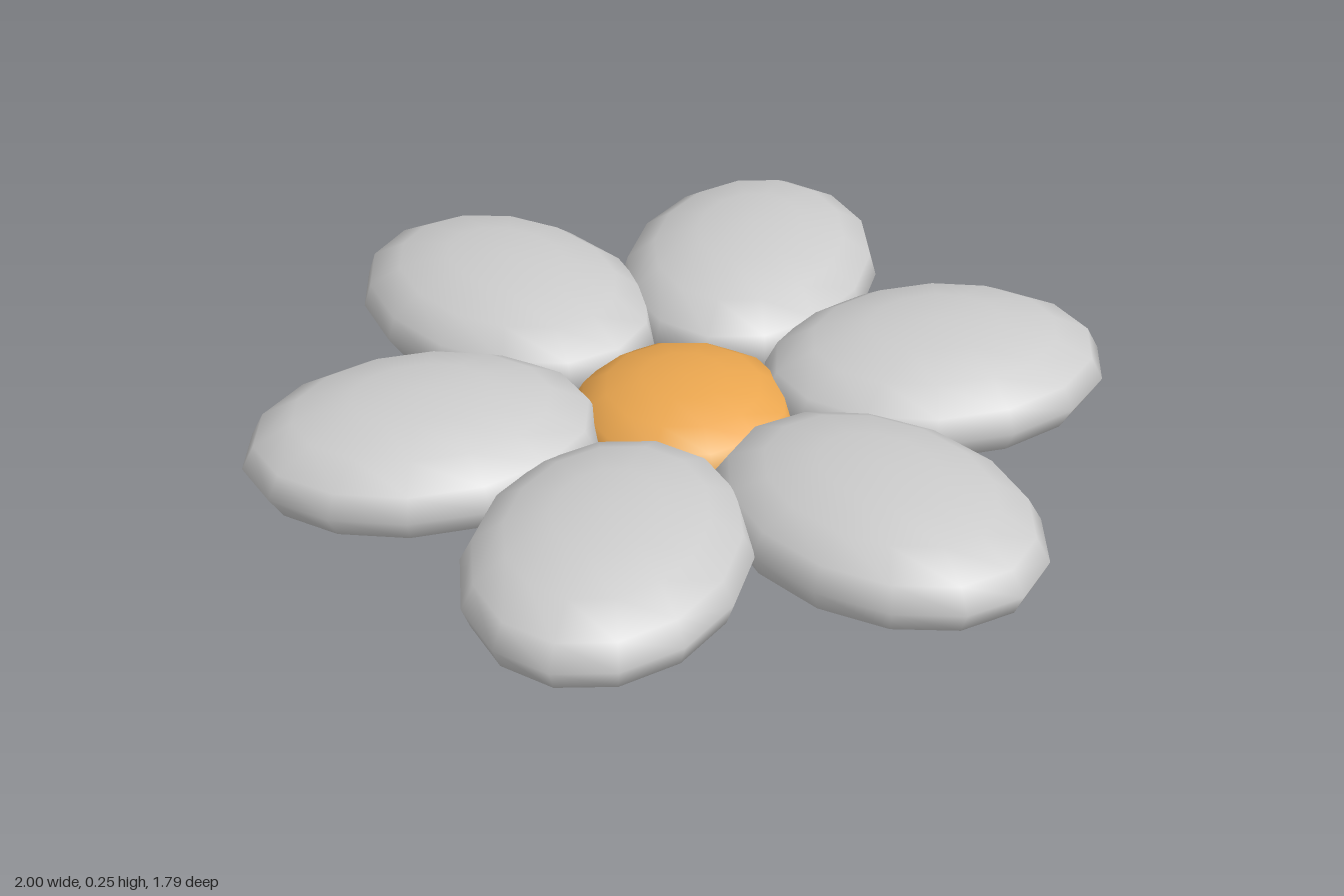
import * as THREE from 'three';

// Open-bottomed ellipsoid, cut flat at y = 0
function cutEllipsoid(rx, ry, rz, cy, segments) {
  const cut = Math.acos(-cy / ry);
  const g = new THREE.SphereGeometry(1, segments, 6, 0, Math.PI * 2, 0, cut);
  g.scale(rx, ry, rz);
  g.translate(0, cy, 0);
  return g;
}

export function createModel() {
  const flower = new THREE.Group();
  flower.name = 'flower';
  const petalMat = new THREE.MeshStandardMaterial({ color: 0xcccccc, side: THREE.DoubleSide });
  const centreMat = new THREE.MeshStandardMaterial({ color: 0xeaa64f, side: THREE.DoubleSide });

  // Six overlapping petals, the back ones sitting slightly higher
  for (let i = 0; i < 6; i++) {
    const angle = i * Math.PI / 3;
    const lift = 0.01 * Math.sin(angle);
    const petal = new THREE.Mesh(cutEllipsoid(0.405, 0.14, 0.305, 0.102 + lift, 14), petalMat);
    petal.geometry.translate(0.595, 0, 0);
    petal.rotation.y = angle;
    petal.name = 'petal' + (i + 1);
    flower.add(petal);
  }

  // Domed flower centre
  const centre = new THREE.Mesh(cutEllipsoid(0.26, 0.115, 0.26, 0.075, 12), centreMat);
  centre.name = 'flowerCentre';
  flower.add(centre);

  return flower;
}
